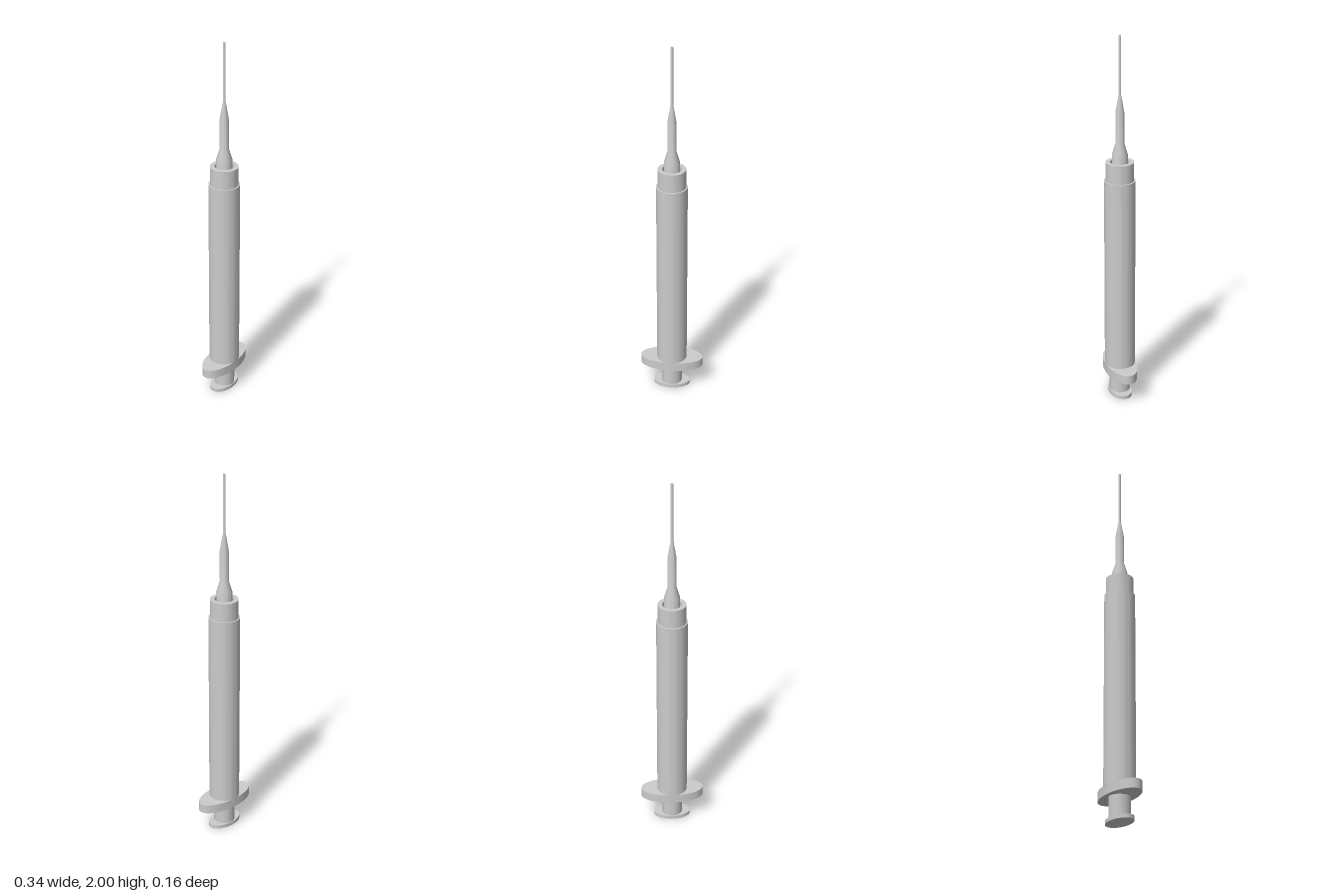
import * as THREE from 'three';
import { toCreasedNormals } from 'three/addons/utils/BufferGeometryUtils.js';

const material = new THREE.MeshStandardMaterial({ color: 0xcccccc });

// Turned part from [radius, height] pairs, bottom to top, with sharp edges kept.
function turned(name, profile, scaleX = 1) {
  const points = profile.map(([r, y]) => new THREE.Vector2(r, y));
  const geometry = new THREE.LatheGeometry(points, 64);
  geometry.scale(scaleX, 1, 1);
  const mesh = new THREE.Mesh(toCreasedNormals(geometry, 0.35), material);
  mesh.name = name;
  return mesh;
}

// Solid disc or rod; scaleX stretches it into an ellipse.
const solid = (name, r, y0, y1, scaleX) =>
  turned(name, [[0, y0], [r, y0], [r, y1], [0, y1]], scaleX);

export function createModel() {
  const group = new THREE.Group();
  group.name = 'syringe';
  group.add(
    // Plunger
    solid('thumbRest', 0.06, 0, 0.02, 0.1 / 0.06),
    solid('plungerRod', 0.056, 0.02, 0.14),
    // Barrel with its elliptical finger flange
    solid('fingerFlange', 0.08, 0.13, 0.18, 0.171 / 0.08),
    solid('barrel', 0.082, 0.175, 1.24),
    // Open collar around the needle hub
    turned('collar', [[0.074, 1.23], [0.074, 1.34], [0.05, 1.34], [0.05, 1.245], [0, 1.245]]),
    // Stepped hub tapering to the needle
    turned('needleHub', [
      [0, 1.24], [0.041, 1.24], [0.041, 1.38], [0.023, 1.44],
      [0.023, 1.6], [0.008, 1.69], [0, 1.69],
    ]),
    // Hollow needle
    turned('needle', [[0.007, 1.68], [0.007, 2], [0.004, 2], [0.004, 1.7], [0, 1.7]]),
  );
  return group;
}
